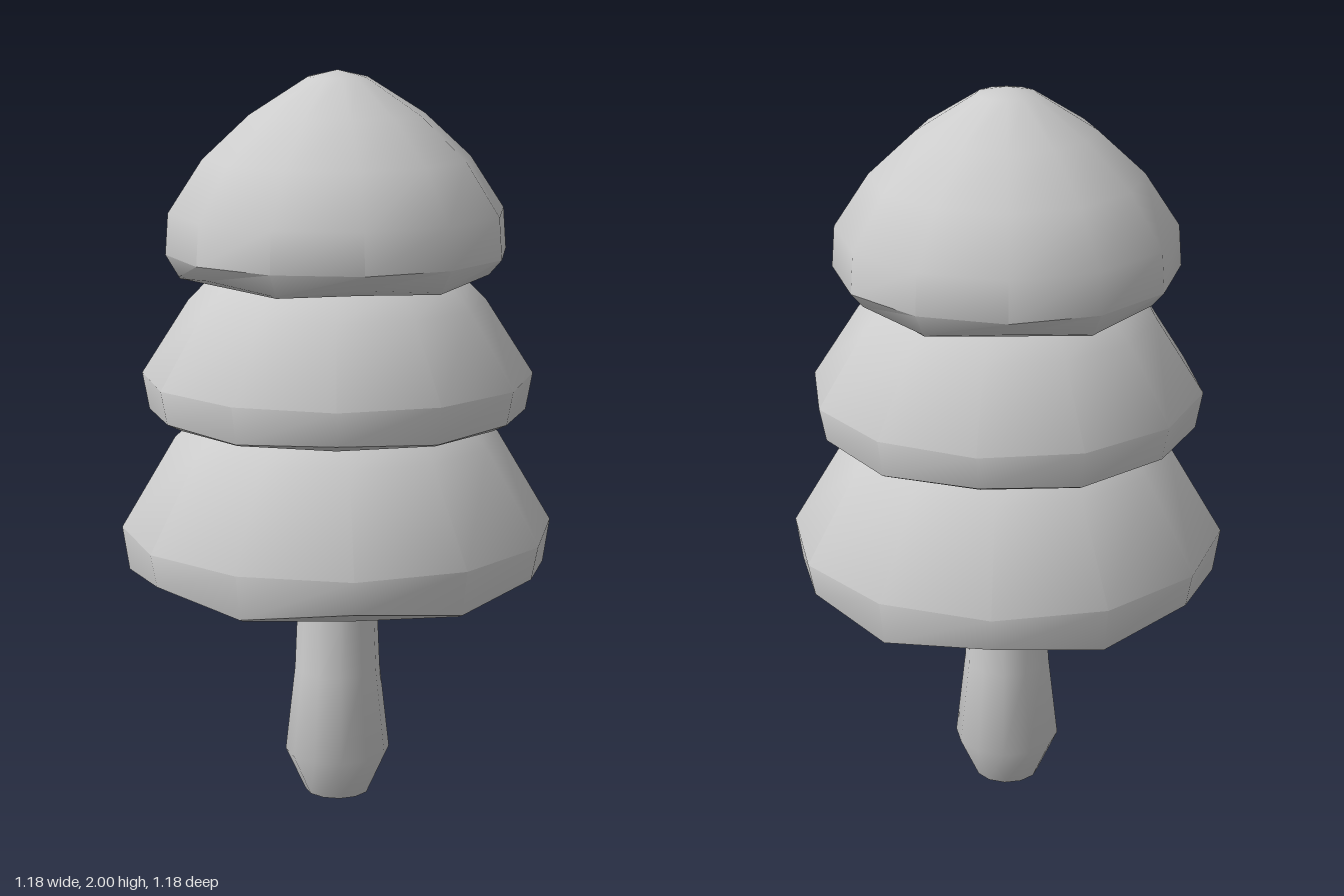
import * as THREE from 'three';
import { toCreasedNormals } from 'three/addons/utils/BufferGeometryUtils.js';

const SIDES = 12;

// Closed surface through 12-sided rings listed from bottom to top.
// Each ring is [radius, y, radius on odd corners, y on odd corners].
function ringSolid(rings, crease) {
  const pos = [], index = [];
  for (const [r, y, rOdd = r, yOdd = y] of rings) {
    for (let i = 0; i < SIDES; i++) {
      const a = (i / SIDES) * Math.PI * 2;
      const odd = i % 2 === 1;
      const rad = odd ? rOdd : r;
      pos.push(Math.sin(a) * rad, odd ? yOdd : y, Math.cos(a) * rad);
    }
  }
  for (let k = 0; k < rings.length - 1; k++) {
    for (let i = 0; i < SIDES; i++) {
      const j = (i + 1) % SIDES;
      const a = k * SIDES + i, b = k * SIDES + j, c = a + SIDES, d = b + SIDES;
      index.push(a, b, d, a, d, c);
    }
  }
  // end caps
  const last = (rings.length - 1) * SIDES;
  const bottom = pos.length / 3, top = bottom + 1;
  pos.push(0, rings[0][1], 0, 0, rings[rings.length - 1][1] + (rings.tip || 0), 0);
  for (let i = 0; i < SIDES; i++) {
    const j = (i + 1) % SIDES;
    index.push(bottom, j, i, top, last + i, last + j);
  }
  const geo = new THREE.BufferGeometry();
  geo.setAttribute('position', new THREE.Float32BufferAttribute(pos, 3));
  geo.setIndex(index);
  return toCreasedNormals(geo, crease);
}

export function createModel() {
  const tree = new THREE.Group();
  tree.name = 'tree';
  const grey = new THREE.MeshStandardMaterial({ color: 0xcccccc });
  grey.name = 'plain grey';

  const add = (name, rings, turn = 0, crease = 0.75) => {
    const mesh = new THREE.Mesh(ringSolid(rings, crease), grey);
    mesh.name = name;
    mesh.rotation.y = THREE.MathUtils.degToRad(turn);
    tree.add(mesh);
  };

  // Trunk, swollen near the foot
  add('trunk', [[0.09, 0], [0.145, 0.12], [0.118, 0.36], [0.105, 0.66]]);

  // Foliage tiers: underside ring, wavy rim, bulge, then the rounded dome
  add('lowerFoliage', [
    [0.46, 0.63, 0.555, 0.643], [0.57, 0.68, 0.57, 0.65], [0.588, 0.77],
    [0.44, 1.02], [0.36, 1.09], [0.2, 1.17],
  ]);

  add('middleFoliage', [
    [0.47, 1.08, 0.5, 1.085], [0.51, 1.1, 0.51, 1.09], [0.528, 1.19],
    [0.4, 1.39], [0.33, 1.46], [0.18, 1.53],
  ], -4.4);

  const crown = [
    [0.38, 1.46, 0.42, 1.455], [0.425, 1.48, 0.425, 1.46], [0.46, 1.52],
    [0.452, 1.63], [0.36, 1.77], [0.235, 1.885], [0.08, 1.982],
  ];
  crown.tip = 0.018;
  add('topFoliage', crown, 4.4);

  return tree;
}
